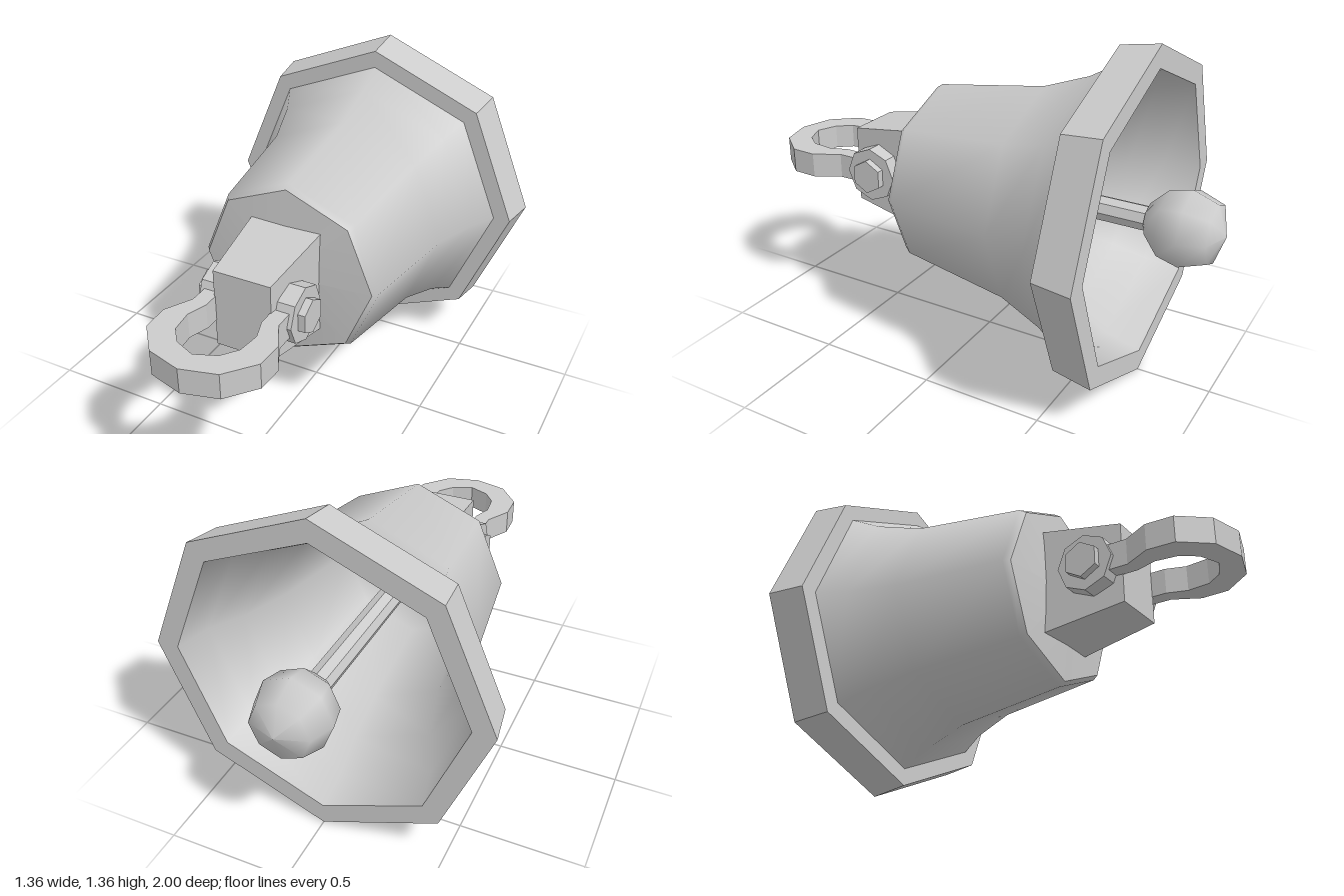
import * as THREE from 'three';

const material = new THREE.MeshStandardMaterial({ color: 0xcccccc });
const flatMaterial = new THREE.MeshStandardMaterial({ color: 0xcccccc, flatShading: true });

export function createModel() {
  const model = new THREE.Group();
  model.name = 'bell';

  // Everything is built around a local y axis, then laid down so y points to +z
  const body = new THREE.Group();
  body.name = 'bellAssembly';
  body.rotation.x = Math.PI / 2;
  body.position.y = 0.68;
  model.add(body);

  const add = (name, geometry, mat = flatMaterial) => {
    const mesh = new THREE.Mesh(geometry, mat);
    mesh.name = name;
    body.add(mesh);
    return mesh;
  };
  const lathe = (points, sides = 8) =>
    new THREE.LatheGeometry(points.map(([r, y]) => new THREE.Vector2(r, y)), sides);

  // Flared octagonal shell, smooth outside and inside
  add('shellOuter', lathe([[0.59, -0.55], [0.52, -0.43], [0.45, -0.24], [0.383, 0.225], [0.365, 0.25]]), material);
  add('shellInner', lathe([[0, 0.2], [0.32, 0.18], [0.4, -0.22], [0.47, -0.42], [0.55, -0.55], [0.59, -0.7]]), material);
  add('crown', lathe([[0.365, 0.25], [0, 0.28]]), material);

  // Heavy faceted lip
  add('rim', lathe([[0.59, -0.7], [0.68, -0.7], [0.655, -0.54], [0.57, -0.54]]));

  // Clapper: rod and ball
  const rod = add('clapperRod', new THREE.CylinderGeometry(0.05, 0.05, 0.95, 8));
  rod.position.y = -0.27;
  add('clapperBall', lathe([[0, -1], [0.12, -0.96], [0.157, -0.86], [0.135, -0.77], [0.065, -0.7], [0, -0.7]]), material);

  // Tapered mounting block
  const block = new THREE.BoxGeometry(2, 0.335, 2);
  const p = block.attributes.position;
  for (let i = 0; i < p.count; i++) {
    const top = p.getY(i) > 0;
    p.setX(i, p.getX(i) * (top ? 0.12 : 0.15));
    p.setZ(i, p.getZ(i) * (top ? 0.163 : 0.218));
  }
  add('mountBlock', block).position.y = 0.4175;

  // Shackle: half outline mirrored into a closed flat loop
  const outer = [[0.18, 0.46], [0.18, 0.635], [0.237, 0.74], [0.232, 0.85], [0.14, 0.96]];
  const inner = [[0.116, 0.46], [0.116, 0.645], [0.143, 0.725], [0.132, 0.815], [0.085, 0.875]];
  const mirror = (pts) => pts.map(([x, y]) => [-x, y]).reverse();
  const outline = [
    ...outer, [0, 0.998], ...mirror(outer),
    ...mirror(inner).reverse(), [0, 0.91], ...inner.slice().reverse(),
  ];
  const shape = new THREE.Shape(outline.map(([x, y]) => new THREE.Vector2(x, y)));
  add('shackle', new THREE.ExtrudeGeometry(shape, { depth: 0.104, bevelEnabled: false })).position.z = -0.052;

  // Shackle lugs and bolt heads on both sides
  for (const side of [1, -1]) {
    const label = side > 0 ? 'left' : 'right';
    const disc = (name, radius, sides, x0, x1) => {
      const mesh = add(label + name, new THREE.CylinderGeometry(radius, radius, x1 - x0, sides));
      mesh.geometry.rotateZ(Math.PI / 2);
      mesh.position.set(side * (x0 + x1) / 2, 0.465, 0);
    };
    disc('Lug', 0.115, 8, 0.125, 0.197);
    disc('BoltHead', 0.072, 6, 0.19, 0.227);
  }

  return model;
}
